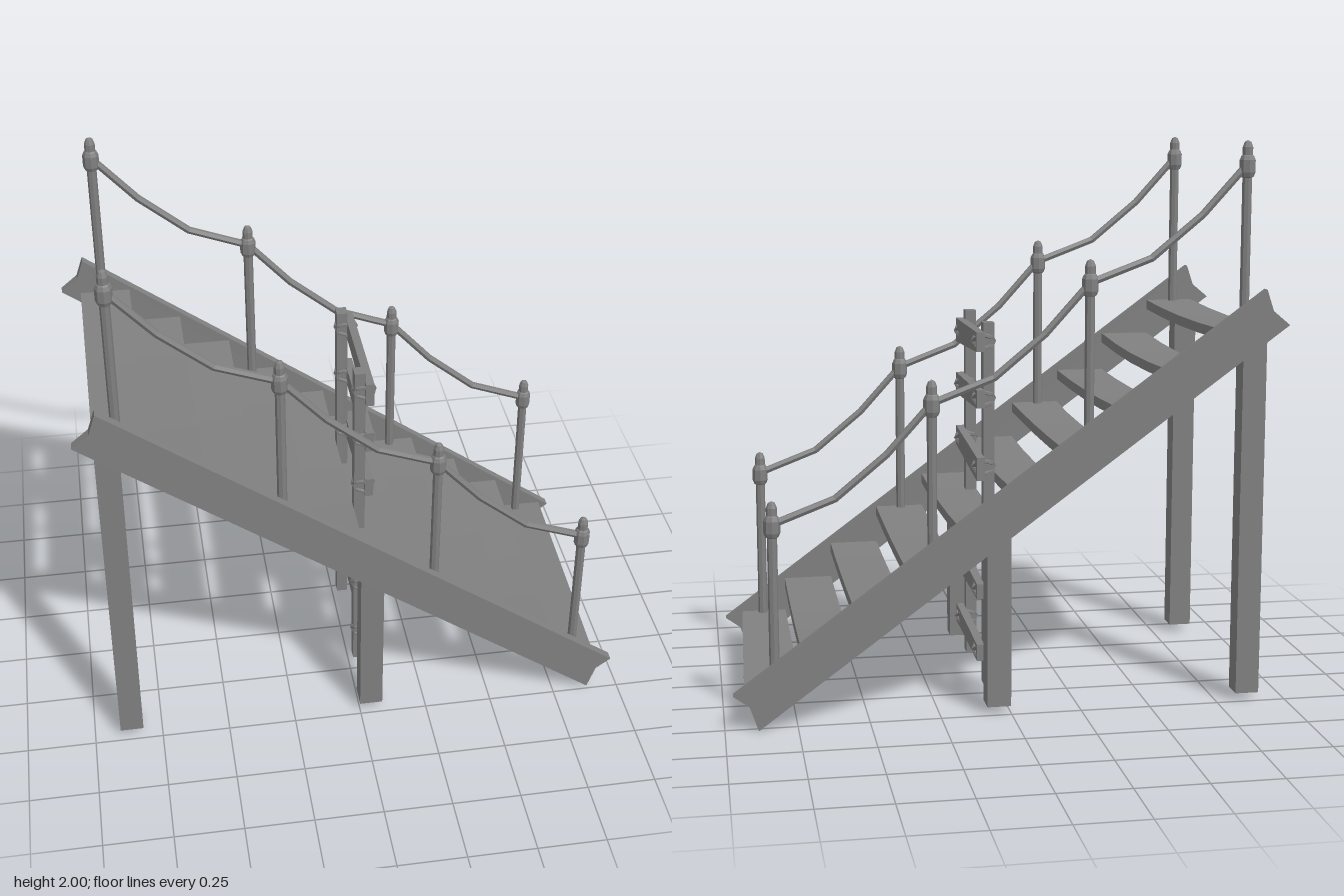
import * as THREE from 'three';

const mat = new THREE.MeshStandardMaterial({ color: 0x808080, flatShading: true });
const SLOPE = -0.731;
const SKEW = 0.0155; // the front side drifts inward towards the foot of the stairs

export function createModel() {
  const root = new THREE.Group();
  const add = (name, geo, x = 0, y = 0, z = 0) => {
    const m = new THREE.Mesh(geo, mat);
    m.name = name;
    m.position.set(x, y, z);
    root.add(m);
    return m;
  };
  // move every vertex by a rule
  const warp = (geo, rule) => {
    const p = geo.attributes.position;
    const v = new THREE.Vector3();
    for (let i = 0; i < p.count; i++) {
      v.fromBufferAttribute(p, i);
      rule(v);
      p.setXYZ(i, v.x, v.y, v.z);
    }
    geo.computeVertexNormals();
    return geo;
  };
  const sideZ = (side, inset, x) => side > 0 ? 0.483 - inset - SKEW * x : -0.508 + inset;

  // Stringers with notched ends
  const outline = new THREE.Shape([
    [-0.89, 1.49], [-0.915, 1.415], [-0.975, 1.365],
    [0.885, 0.003], [0.915, 0.09], [0.97, 0.13],
  ].map(([x, y]) => new THREE.Vector2(x, y)));
  for (const side of [1, -1]) {
    const geo = new THREE.ExtrudeGeometry(outline, { depth: 0.035, bevelEnabled: false });
    warp(geo, v => { v.z += sideZ(side, 0, v.x) - 0.0175; });
    add(side > 0 ? 'frontStringer' : 'backStringer', geo);
  }

  // Worn, slightly sagging treads
  for (let i = 0; i < 10; i++) {
    const x = -0.815 + i * 0.1825;
    const y = 1.337 - i * 0.134;
    const tilt = 0.005 * Math.sin(i * 2.3);
    const sag = i === 9 ? 0 : 0.01 + 0.004 * Math.sin(i * 1.7);
    const bow = i === 3 || i === 5 ? 0.01 : 0;
    const geo = new THREE.BoxGeometry(0.182, 0.036, 1, 1, 1, 4);
    warp(geo, v => {
      const t = v.z * 2; // -1 at the back, 1 at the front
      v.y += tilt * t - sag * (1 - t * t);
      if (v.x < 0) v.x += bow * (1 - t * t);
      else if (i === 9) v.x -= 0.013 * t;
      v.z = t > 0 ? t * (0.468 - SKEW * x) : t * 0.492;
    });
    add('tread', geo, x, y, 0);
  }

  // Square support legs, open at the foot, tops cut to the slope under the treads
  for (const [x, top] of [[-0.863, 1.3], [0.043, 0.645]]) {
    for (const z of [0.437, -0.45]) {
      const geo = new THREE.CylinderGeometry(Math.SQRT1_2, Math.SQRT1_2, top - 0.03, 4, 1, true);
      geo.rotateY(Math.PI / 4).scale(0.085, 1, 0.08);
      warp(geo, v => { if (v.y > 0) v.y += v.x * SLOPE; });
      add('supportLeg', geo, x, (top + 0.03) / 2, z);
    }
  }

  // Handrail posts with collar and domed finial
  const postProfile = [
    [0, -0.66], [0.0175, -0.66], [0.0175, -0.128], [0.023, -0.125], [0.029, -0.11],
    [0.029, -0.068], [0.023, -0.054], [0.019, -0.05], [0.019, -0.024], [0.012, -0.006], [0, 0],
  ].map(([r, y]) => new THREE.Vector2(r, y));
  const postX = [-0.825, -0.275, 0.275, 0.825];
  const postTop = [2.0, 1.6, 1.197, 0.795];
  for (const side of [1, -1]) {
    postX.forEach((x, i) => {
      add('handrailPost', new THREE.LatheGeometry(postProfile, 8), x, postTop[i], sideZ(side, 0.038, x));
      if (i === 3) return;
      // Sagging rope to the next post
      const nx = postX[i + 1];
      const pts = [[0, 0], [0.31, 0.062], [0.66, 0.072], [1, 0]].map(([t, drop]) => {
        const px = x + (nx - x) * t;
        const py = postTop[i] + (postTop[i + 1] - postTop[i]) * t - 0.082 - drop;
        return new THREE.Vector3(px, py, sideZ(side, 0.038, px));
      });
      const path = new THREE.CatmullRomCurve3(pts);
      add('handrailRope', new THREE.TubeGeometry(path, 3, 0.0135, 6));
    });
  }

  // Ladder rails
  const railZ = [0.195, -0.208];
  for (const z of railZ) add('ladderRail', new THREE.BoxGeometry(0.04, 1.33, 0.046), 0.036, 0.695, z);

  // Ladder rungs: uneven boards as [height, rise of the front end, front board height, back board height]
  const rungs = [
    [1.287, -0.012, 0.09, 0.07], [1.083, -0.01, 0.08, 0.065], [0.855, 0.04, 0.075, 0.085],
    [0.625, 0.018, 0.075, 0.06], [0.393, 0.018, 0.08, 0.055], [0.163, 0.016, 0.07, 0.06],
  ];
  for (const [y, rise, hFront, hBack] of rungs) {
    const geo = new THREE.BoxGeometry(0.03, 1, 0.49);
    warp(geo, v => {
      v.y = v.y * (v.z > 0 ? hFront : hBack) + rise * v.z / 0.49;
    });
    add('ladderRung', geo, 0.068, y, -0.006);
    // Crossed rope lashings at both rails
    for (const z of railZ) {
      for (const turn of [1, -1]) {
        const ring = add('ropeLashing', new THREE.TorusGeometry(0.038, 0.008, 5, 8), 0.052, y + rise * z / 0.49, z);
        ring.rotation.x = Math.PI / 2 + turn * 0.65;
      }
    }
  }
  return root;
}
